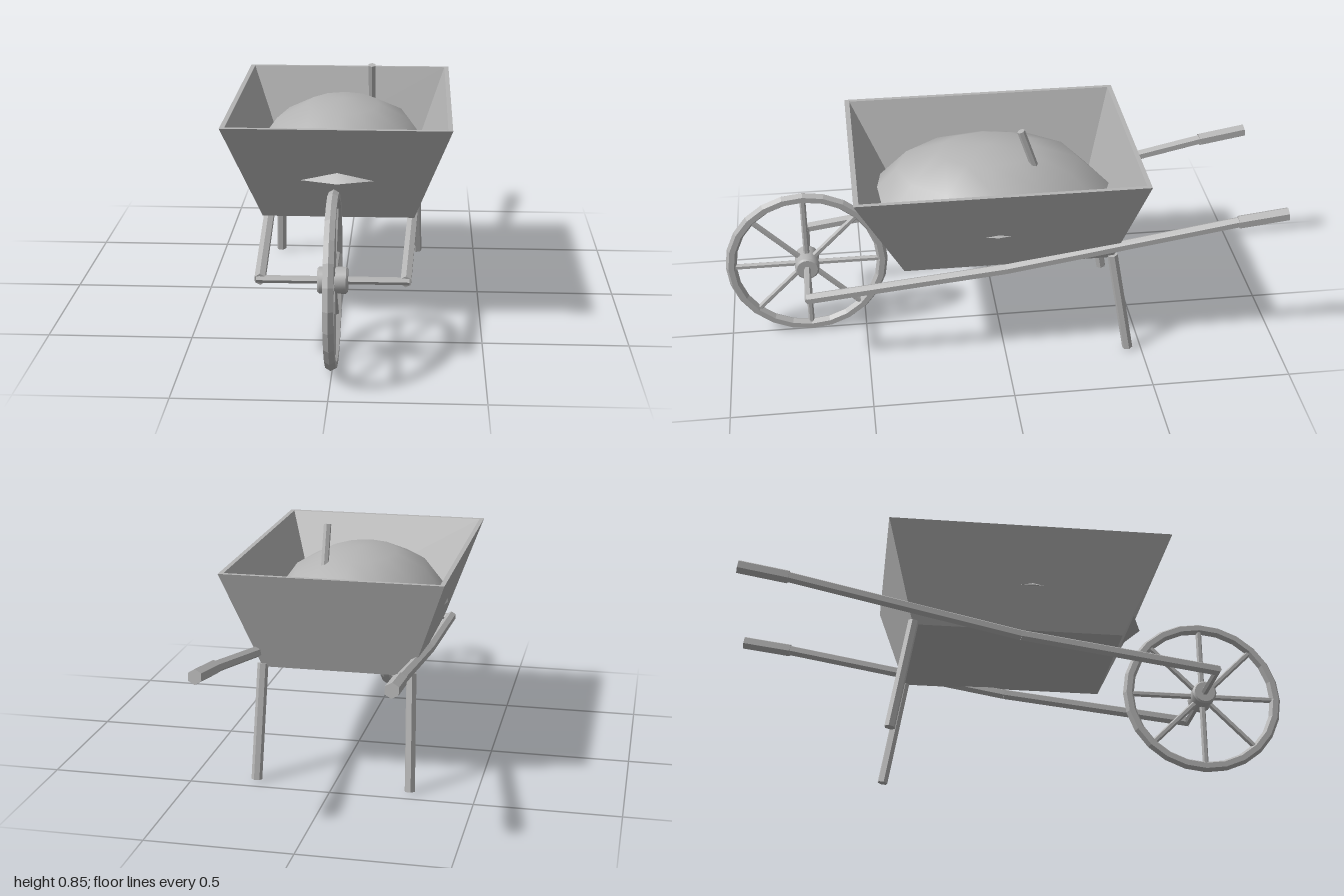
import * as THREE from 'three';
import { toCreasedNormals } from 'three/addons/utils/BufferGeometryUtils.js';

const V = (x, y, z) => new THREE.Vector3(x, y, z);

export function createModel() {
  const model = new THREE.Group();
  const grey = new THREE.MeshStandardMaterial({ color: 0xb4b4b4 });
  grey.name = 'plain grey';

  const add = (name, geometry, parent = model) => {
    const mesh = new THREE.Mesh(geometry, grey);
    mesh.name = name;
    parent.add(mesh);
    return mesh;
  };
  const faceted = (geometry) => {
    const g = geometry.toNonIndexed();
    g.computeVertexNormals();
    return g;
  };
  // Straight faceted bar between two points
  const rod = (name, a, b, radius, parent = model, sides = 6) => {
    const dir = b.clone().sub(a);
    const mesh = add(name, faceted(new THREE.CylinderGeometry(radius, radius, dir.length(), sides)), parent);
    mesh.position.copy(a).add(b).multiplyScalar(0.5);
    mesh.quaternion.setFromUnitVectors(V(0, 1, 0), dir.normalize());
    return mesh;
  };

  // Tray: a flared open box with thin walls
  const ring = (x, y, front, back) => [V(-x, y, front), V(x, y, front), V(x, y, back), V(-x, y, back)];
  const loops = [
    ring(0.262, 0.404, 0.362, -0.382),
    ring(0.386, 0.756, 0.53, -0.482),
    ring(0.37, 0.756, 0.512, -0.466),
    ring(0.25, 0.418, 0.348, -0.37),
  ];
  const corners = [];
  const quad = (a, b, c, d) => corners.push(a, b, c, a, c, d);
  for (let k = 0; k < 3; k++) {
    for (let i = 0; i < 4; i++) {
      const j = (i + 1) % 4;
      quad(loops[k][i], loops[k][j], loops[k + 1][j], loops[k + 1][i]);
    }
  }
  quad(...[...loops[0]].reverse());
  quad(...loops[3]);
  const trayGeometry = new THREE.BufferGeometry().setFromPoints(corners);
  trayGeometry.computeVertexNormals();
  add('tray', trayGeometry);

  // Heaped load: a low dome whose edge just pokes through the walls
  const profile = [[0, 0], [1, 0], [0.74, 0.6], [0.4, 0.9], [0, 1]].map(([r, y]) => new THREE.Vector2(r, y));
  const heap = new THREE.LatheGeometry(profile, 12);
  heap.scale(0.324, 0.193, 0.445);
  add('load', toCreasedNormals(heap, Math.PI / 3)).position.set(0, 0.555, 0.035);
  rod('stick', V(0.1, 0.62, -0.148), V(0.1, 0.847, -0.07), 0.014);

  // Rails, grips and legs, mirrored
  for (const [side, s] of [['left', 1], ['right', -1]]) {
    const frame = new THREE.Group();
    frame.name = side + 'Frame';
    model.add(frame);
    const front = V(s * 0.238, 0.297, 0.71);
    const bend = V(s * 0.262, 0.384, 0.0);
    const gripStart = V(s * 0.302, 0.541, -0.82);
    rod('railFront', front, bend, 0.02, frame);
    rod('railBack', bend, gripStart, 0.02, frame);
    rod('grip', gripStart, V(s * 0.309, 0.567, -0.996), 0.025, frame);
    rod('leg', V(s * 0.262, 0.415, -0.38), V(s * 0.273, 0.008, -0.45), 0.019, frame);
  }

  // Wheel with hub, spokes and axle
  const wheel = new THREE.Group();
  wheel.name = 'wheel';
  wheel.position.set(0, 0.297, 0.705);
  model.add(wheel);
  const rim = new THREE.TorusGeometry(0.276, 0.02, 6, 24);
  rim.rotateY(Math.PI / 2);
  add('rim', faceted(rim), wheel);
  const hubProfile = [[0, -0.05], [0.038, -0.05], [0.044, -0.044], [0.044, 0.044], [0.038, 0.05], [0, 0.05]]
    .map(([r, y]) => new THREE.Vector2(r, y));
  const hub = new THREE.LatheGeometry(hubProfile, 16);
  hub.rotateZ(Math.PI / 2);
  add('hub', toCreasedNormals(hub, 0.6), wheel);
  for (let i = 0; i < 8; i++) {
    const a = (i * Math.PI) / 4;
    const dir = V(0, Math.sin(a), Math.cos(a));
    rod('spoke', dir.clone().multiplyScalar(0.03), dir.clone().multiplyScalar(0.27), 0.011, wheel);
  }
  rod('axle', V(-0.25, 0, 0), V(0.25, 0, 0), 0.013, wheel);

  return model;
}
